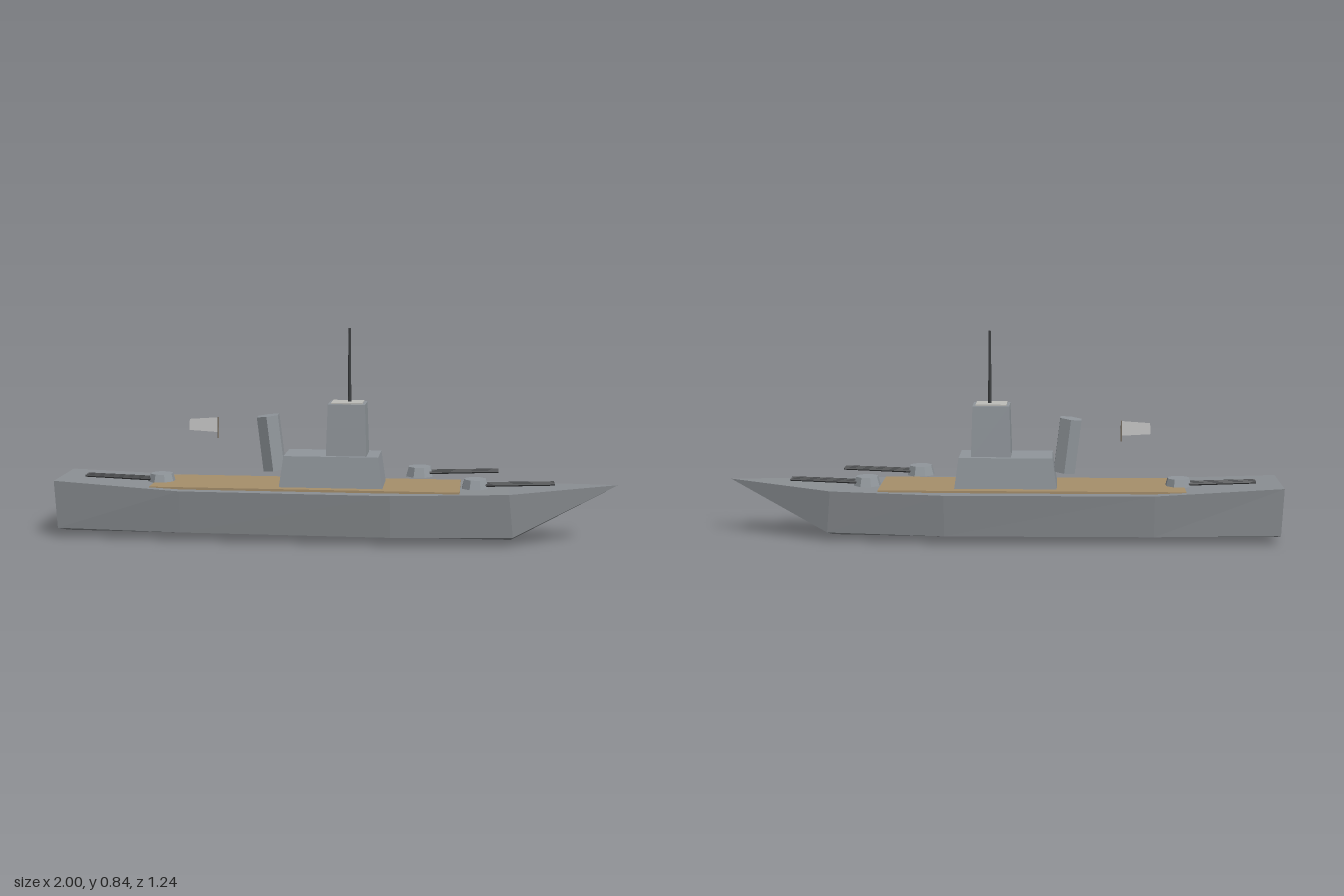
import * as THREE from 'three';

const mat = (name, color, side = THREE.FrontSide) => {
  const m = new THREE.MeshStandardMaterial({ color, side, flatShading: true });
  m.name = name;
  return m;
};

export function createModel() {
  const hullGrey = mat('hull grey', 0x8b8f93);
  const towerGrey = mat('superstructure grey', 0x90969b);
  const wood = mat('deck wood', 0xa68f6b);
  const gunDark = mat('gun dark grey', 0x3c3e40);
  const lightGrey = mat('roof light grey', 0xbcbcb8);
  const flagWhite = mat('flag pale grey', 0xcacaca, THREE.DoubleSide);
  const poleBrown = mat('pole brown', 0x7d7468);

  // The ship is built with its bow along +x, then turned
  const ship = new THREE.Group();
  ship.name = 'warship';
  const add = (name, geo, material, x = 0, y = 0, z = 0, parent = ship) => {
    const mesh = new THREE.Mesh(geo, material);
    mesh.name = name;
    mesh.position.set(x, y, z);
    parent.add(mesh);
    return mesh;
  };

  // Box with a smaller top, standing on y = 0
  const taperedBox = (l, w, h, topL, topW) => {
    const g = new THREE.BoxGeometry(l, h, w).translate(0, h / 2, 0);
    const p = g.attributes.position;
    for (let i = 0; i < p.count; i++) {
      if (p.getY(i) > h / 2) p.setXYZ(i, p.getX(i) * topL / l, h, p.getZ(i) * topW / w);
    }
    g.computeVertexNormals();
    return g;
  };

  // Hull: five-point sections (deck edges, chines, keel) meeting at the bow
  // deck x, deck y, deck half width, chine x, chine half width, keel x
  const stations = [
    [-1.052, 0.229, 0.147, -1.045, 0.13, -1.04],
    [-0.54, 0.204, 0.187, -0.54, 0.165, -0.54],
    [0.29, 0.204, 0.199, 0.29, 0.175, 0.29],
    [0.747, 0.208, 0.146, 0.765, 0.121, 0.76],
  ];
  const rings = stations.map(([dx, dy, dw, cx, cw, kx]) => [
    [dx, dy, dw], [dx, dy, -dw], [cx, 0.035, -cw], [kx, 0, 0], [cx, 0.035, cw],
  ]);
  rings.push(Array(5).fill([1.173, 0.229, 0]));
  const verts = [];
  const tri = (...pts) => pts.forEach((p) => verts.push(...p));
  for (let i = 0; i < rings.length - 1; i++) {
    for (let j = 0; j < 5; j++) {
      const k = (j + 1) % 5;
      const a = rings[i][j], b = rings[i + 1][j], c = rings[i + 1][k], d = rings[i][k];
      if (b !== c) tri(a, b, c);
      tri(a, c, d);
    }
  }
  for (let k = 1; k < 4; k++) tri(rings[0][0], rings[0][k], rings[0][k + 1]); // transom
  const hull = new THREE.BufferGeometry();
  hull.setAttribute('position', new THREE.Float32BufferAttribute(verts, 3));
  hull.computeVertexNormals();
  add('hull', hull, hullGrey);

  // Planked deck
  add('woodDeck', new THREE.BoxGeometry(1.224, 0.009, 0.29), wood, -0.055, 0.2085, 0);

  // Superstructure, tower, roof plate and mast
  add('superstructure', taperedBox(0.412, 0.208, 0.133, 0.374, 0.186), towerGrey, 0.05, 0.203, 0);
  add('tower', taperedBox(0.16, 0.144, 0.205, 0.147, 0.126), towerGrey, 0.109, 0.335, 0.002);
  add('towerRoof', new THREE.BoxGeometry(0.124, 0.006, 0.102), lightGrey, 0.109, 0.542, 0.002);
  add('mast', new THREE.CylinderGeometry(0.005, 0.007, 0.295, 8), gunDark, 0.116, 0.688, 0.002);

  // Funnel, raked aft
  const funnel = add('funnel', new THREE.CylinderGeometry(0.049, 0.049, 0.22, 6), towerGrey, -0.197, 0.375, 0);
  funnel.rotation.z = 0.12;

  // Gun turrets with triple barrels
  const turret = (name, x, y, direction) => {
    const g = new THREE.Group();
    g.name = name;
    g.position.set(x, y, 0);
    g.rotation.y = direction > 0 ? 0 : Math.PI;
    const house = new THREE.CylinderGeometry(0.046, 0.057, 0.038, 8).translate(0, 0.019, 0);
    add('gunHouse', house.rotateY(Math.PI / 8), towerGrey, 0, 0, 0, g);
    for (const z of [-0.023, 0, 0.023]) {
      const barrel = add('barrel', new THREE.CylinderGeometry(0.005, 0.006, 0.28, 6), gunDark, 0.17, 0.021, z, g);
      barrel.rotation.z = -Math.PI / 2 + 0.035;
    }
    ship.add(g);
  };
  turret('foreTurret', 0.616, 0.205, 1);
  turret('raisedTurret', 0.396, 0.252, 1);
  turret('aftTurret', -0.645, 0.205, -1);

  // Flag and its pole
  add('flagPole', new THREE.CylinderGeometry(0.003, 0.003, 0.085, 6), poleBrown, -0.413, 0.433, 0);
  const flag = new THREE.Shape();
  flag.moveTo(0, 0.414);
  flag.lineTo(0, 0.474);
  flag.lineTo(-0.115, 0.466);
  flag.lineTo(-0.118, 0.421);
  add('flag', new THREE.ShapeGeometry(flag), flagWhite, -0.413, 0, 0);

  ship.rotation.y = -Math.PI / 6;
  ship.position.set(-0.0175, 0, 0.03);
  const model = new THREE.Group();
  model.name = 'model';
  model.add(ship);
  return model;
}
